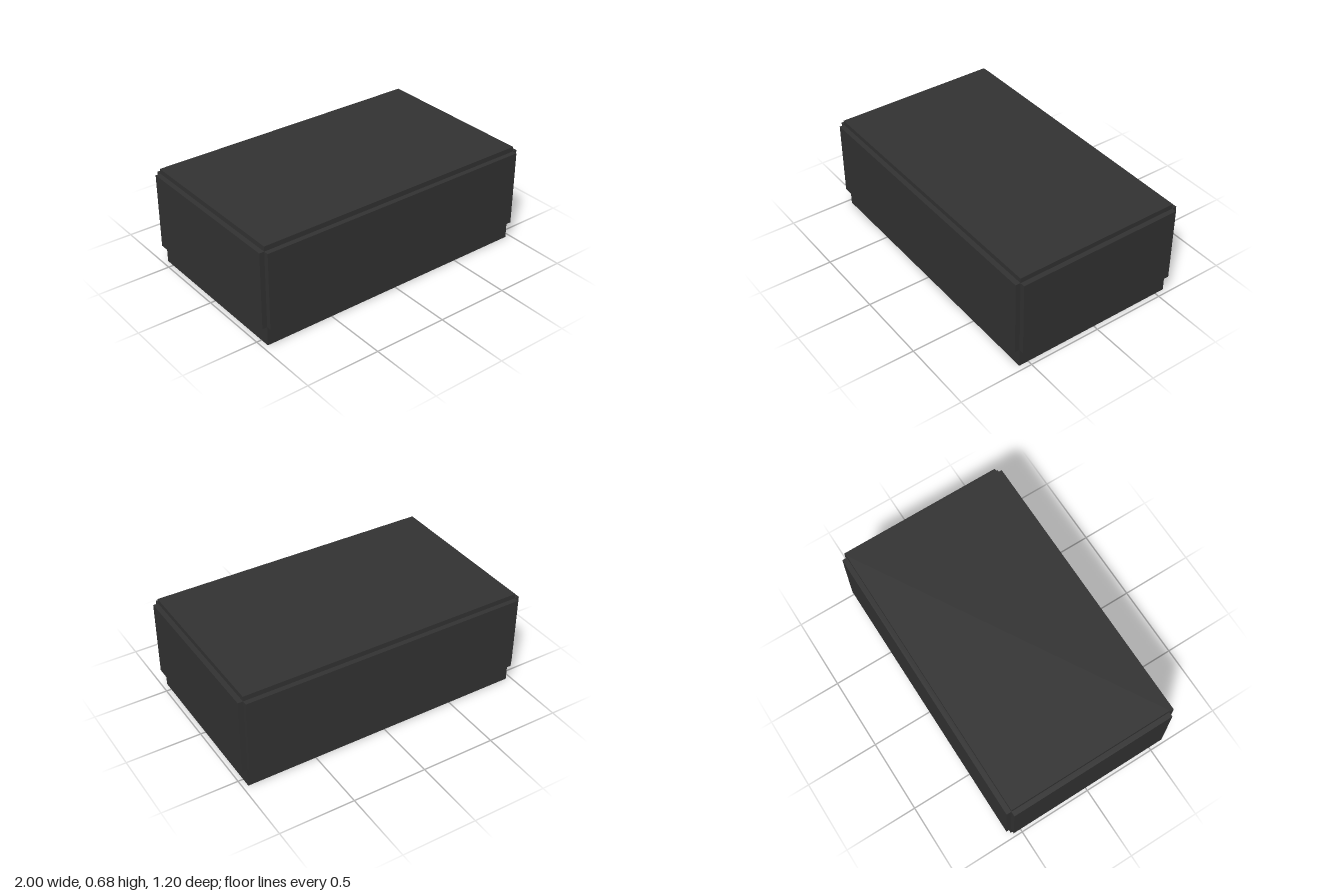
import * as THREE from 'three';

export function createModel() {
  const group = new THREE.Group();
  const material = new THREE.MeshStandardMaterial({ color: 0x333333 });

  const halfX = 0.966, halfZ = 0.565;          // core half sizes
  const panel = 0.033;                         // cladding thickness
  const low = 0.13, high = 0.645, top = 0.678; // panel bottom, panel top, lid top

  function box(name, w, h, d, x, y, z) {
    const mesh = new THREE.Mesh(new THREE.BoxGeometry(w, h, d), material);
    mesh.name = name;
    mesh.position.set(x, y, z);
    group.add(mesh);
  }

  // Core, whose exposed lower band forms the plinth
  box('core', halfX * 2, high, halfZ * 2, 0, high / 2, 0);

  // Top panel
  box('topPanel', halfX * 2, top - high, halfZ * 2, 0, (top + high) / 2, 0);

  // Raised panels on the four sides, leaving notched corners
  const h = high - low, y = (high + low) / 2;
  for (const s of [1, -1]) {
    box(s > 0 ? 'frontPanel' : 'backPanel', halfX * 2, h, panel, 0, y, s * (halfZ + panel / 2));
    box(s > 0 ? 'leftPanel' : 'rightPanel', panel, h, halfZ * 2, s * (halfX + panel / 2), y, 0);
  }

  return group;
}
